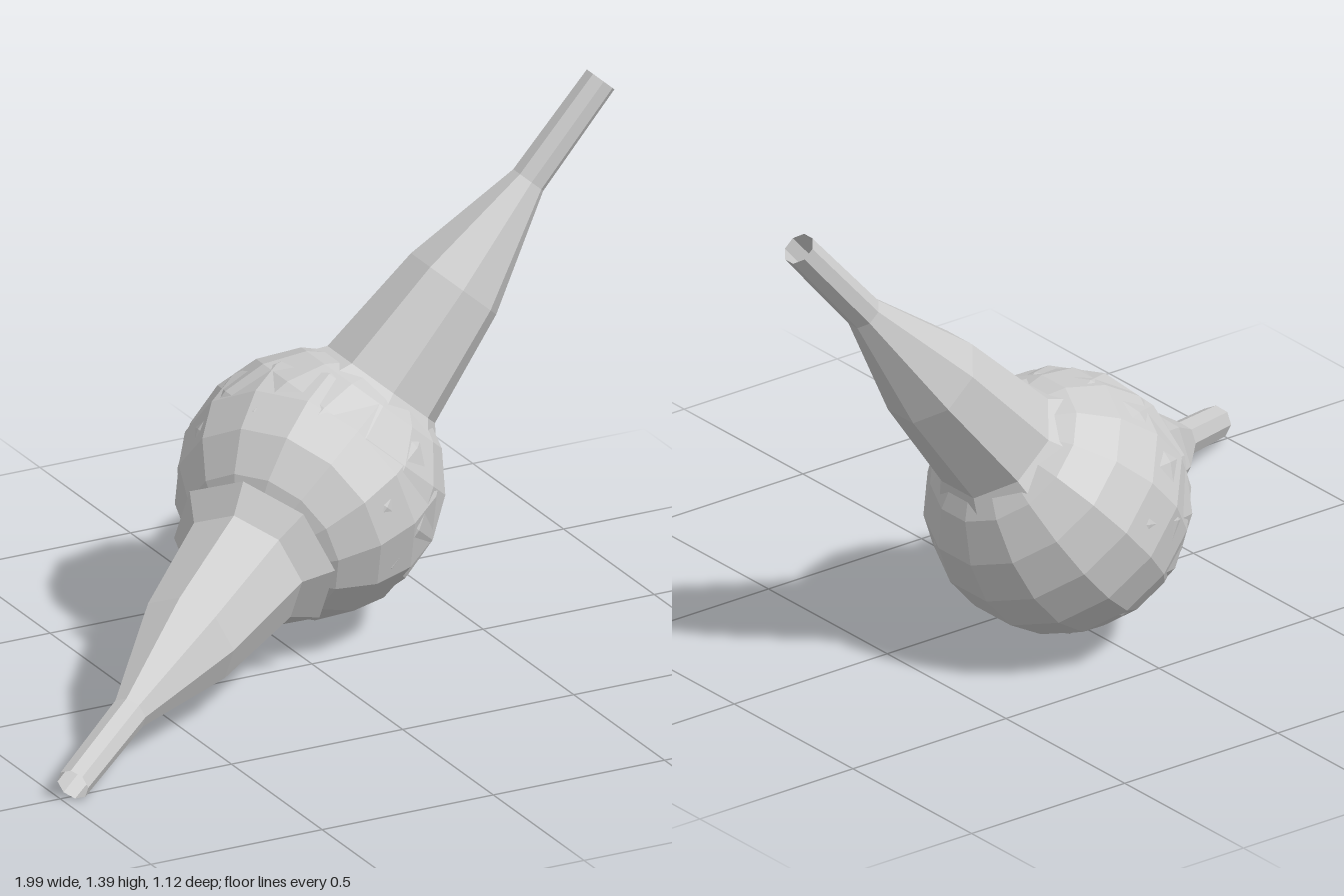
import * as THREE from 'three';

const material = new THREE.MeshStandardMaterial({
  color: 0xcccccc, flatShading: true, side: THREE.DoubleSide,
});

// Hollow eight-sided neck with a faceted bulb at its root, pointing from start to end
function makeSpout(name, start, end, roll) {
  const group = new THREE.Group();
  group.name = name;
  const dir = end.clone().sub(start);
  const length = dir.length();
  dir.normalize();

  // Radius and distance back from the open tip, from flared root to narrow tip
  const profile = [
    [0.235, 1.04], [0.175, 0.97], [0.139, 0.65], [0.049, 0.32], [0.045, 0],
  ].map(([r, back]) => new THREE.Vector2(r, length - back));
  const neck = new THREE.Mesh(new THREE.LatheGeometry(profile, 8, roll), material);
  neck.name = name + 'Neck';

  const bulb = new THREE.Mesh(new THREE.SphereGeometry(0.348, 14, 9), material);
  bulb.name = name + 'Bulb';
  group.add(neck, bulb);

  // Local y runs along the neck, local z leans upward
  const side = new THREE.Vector3().crossVectors(dir, new THREE.Vector3(0, 1, 0)).normalize();
  const up = new THREE.Vector3().crossVectors(side, dir);
  group.quaternion.setFromRotationMatrix(new THREE.Matrix4().makeBasis(side, dir, up));
  group.position.copy(start);
  return group;
}

export function createModel() {
  const model = new THREE.Group();
  model.name = 'twinSpoutBulb';
  model.add(
    makeSpout('upperSpout', new THREE.Vector3(0.115, 0.41, -0.22),
      new THREE.Vector3(0.96, 1.37, -0.22), Math.PI / 8),
    makeSpout('lowerSpout', new THREE.Vector3(0.1, 0.405, -0.208),
      new THREE.Vector3(-0.975, 0.047, 0.523), 0),
  );
  return model;
}
